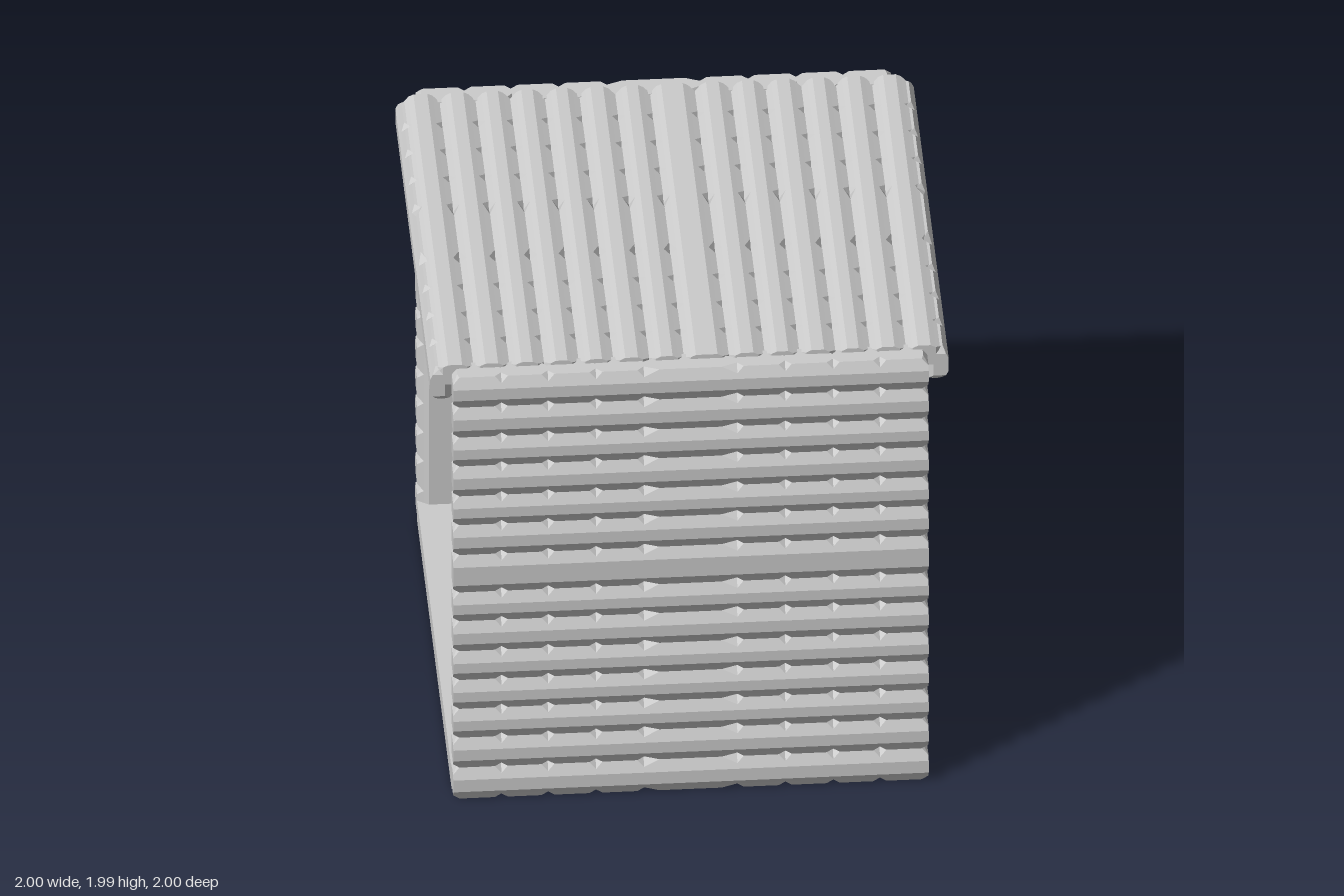
import * as THREE from 'three';

const material = new THREE.MeshStandardMaterial({ color: 0xcccccc, flatShading: true });

// Ridge boundaries across a panel, and the notch columns along its ridges
const rows = [0, 0.145, 0.285, 0.42, 0.555, 0.69, 0.83, 0.965, 1.14, 1.28, 1.415, 1.555, 1.69, 1.83, 1.97];
const columns = [-0.917, -0.73, -0.55, -0.365, -0.18, 0.18, 0.365, 0.55, 0.73, 0.917];

// Grid lines around each boundary; steps may be longer on one side
function gridLines(bounds, stepsFor) {
  const lines = [];
  bounds.forEach((b, i) => {
    const [before, after] = stepsFor(b);
    if (i > 0) for (const s of [before[1], before[0]]) lines.push({ p: b - s, f: s === before[1] ? 0 : 0.45, edge: false });
    lines.push({ p: b, f: 1, edge: true });
    if (i < bounds.length - 1) for (const s of after) lines.push({ p: b + s, f: s === after[1] ? 0 : 0.45, edge: false });
  });
  return lines;
}

// Corrugated panel: ridges along x outside, upright ridges inside,
// with a small pyramid notch wherever a valley crosses a column.
function corrugatedPanel(rowBounds, thickness) {
  const short = [0.025, 0.045], long = [0.06, 0.085];
  const us = gridLines(columns, (b) => [b === 0.18 ? long : short, b === -0.18 ? long : short]);
  const vs = gridLines(rowBounds, () => [short, short]);
  const nu = us.length, nv = vs.length;
  const positions = [], indices = [];

  for (const outer of [true, false]) {
    for (const v of vs) {
      us.forEach((u, i) => {
        const notch = u.edge && v.edge;
        const end = i === 0 || i === nu - 1;
        const x = notch && end ? u.p - Math.sign(u.p) * 0.018 : u.p;
        const w = outer
          ? (notch ? -0.047 : -0.022 * v.f)
          : -thickness + 0.03 * u.f + (notch ? 0.012 : 0);
        positions.push(x, v.p, w);
      });
    }
  }

  const at = (i, j, layer) => layer * nu * nv + j * nu + i;
  const tri = (a, b, c, flip) => (flip ? indices.push(a, c, b) : indices.push(a, b, c));

  // Outer and inner skins; each diagonal avoids the notch corner
  for (const layer of [0, 1]) {
    for (let j = 0; j < nv - 1; j++) {
      for (let i = 0; i < nu - 1; i++) {
        const a = at(i, j, layer), b = at(i + 1, j, layer);
        const c = at(i + 1, j + 1, layer), d = at(i, j + 1, layer);
        const cornerA = us[i].edge && vs[j].edge;
        const cornerC = us[i + 1].edge && vs[j + 1].edge;
        if (cornerA || cornerC) {
          tri(a, b, d, layer);
          tri(b, c, d, layer);
        } else {
          tri(a, b, c, layer);
          tri(a, c, d, layer);
        }
      }
    }
  }

  // Rim joining the two skins
  const rim = (i0, j0, i1, j1) => {
    const a = at(i0, j0, 0), b = at(i1, j1, 0), c = at(i1, j1, 1), d = at(i0, j0, 1);
    indices.push(a, d, c, a, c, b);
  };
  for (let i = 0; i < nu - 1; i++) {
    rim(i, 0, i + 1, 0);
    rim(i + 1, nv - 1, i, nv - 1);
  }
  for (let j = 0; j < nv - 1; j++) {
    rim(nu - 1, j, nu - 1, j + 1);
    rim(0, j + 1, 0, j);
  }

  const indexed = new THREE.BufferGeometry();
  indexed.setAttribute('position', new THREE.Float32BufferAttribute(positions, 3));
  indexed.setIndex(indices);
  const geometry = indexed.toNonIndexed();
  geometry.computeVertexNormals();
  return geometry;
}

function addMesh(parent, name, geometry) {
  const mesh = new THREE.Mesh(geometry, material);
  mesh.name = name;
  parent.add(mesh);
  return mesh;
}

export function createModel() {
  const group = new THREE.Group();
  group.name = 'corrugatedShelter';

  // Front and back walls
  const wallGeometry = corrugatedPanel(rows, 0.12);
  for (const side of [1, -1]) {
    const wall = addMesh(group, side > 0 ? 'frontWall' : 'backWall', wallGeometry);
    wall.position.z = side;
    if (side < 0) wall.rotation.y = Math.PI;
  }

  // Roof: same panel laid flat, ridges running front to back
  const roof = addMesh(group, 'roof', corrugatedPanel(rows.map((r) => (r - 0.985) * 0.99), 0.12));
  roof.matrixAutoUpdate = true;
  roof.quaternion.setFromRotationMatrix(new THREE.Matrix4().makeBasis(
    new THREE.Vector3(0, 0, 1), new THREE.Vector3(1, 0, 0), new THREE.Vector3(0, 1, 0)));
  roof.position.y = 1.988;

  // Ridged lips closing the roof over the open sides
  const lipGeometry = corrugatedPanel([1.82, 1.97], 0.088);
  for (const side of [1, -1]) {
    const lip = addMesh(group, side > 0 ? 'leftRoofLip' : 'rightRoofLip', lipGeometry);
    lip.position.x = side;
    lip.rotation.y = side * Math.PI / 2;
  }

  // Flat floor slab between the walls
  const floor = addMesh(group, 'floor', new THREE.BoxGeometry(1.834, 0.09, 1.82));
  floor.position.y = 0.045;

  return group;
}
